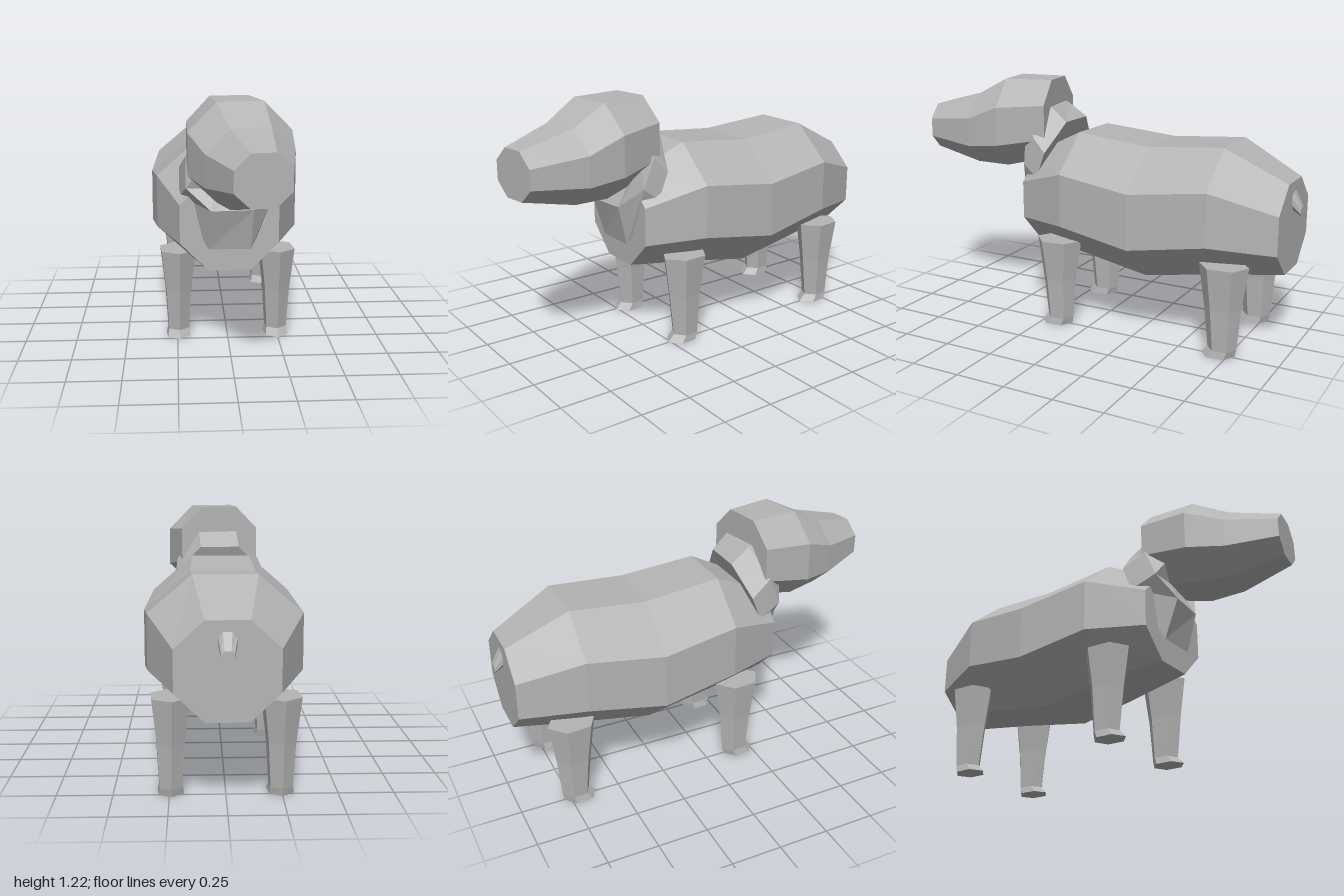
import * as THREE from 'three';

const grey = new THREE.MeshStandardMaterial({ color: 0xb4b4b4, flatShading: true });
grey.name = 'plain grey';

// Faceted closed solid through a list of rings, counter-clockwise seen from the last ring
function loft(name, rings) {
  const pos = [];
  const tri = (a, b, c) => pos.push(...a, ...b, ...c);
  const n = rings[0].length, last = rings[rings.length - 1];
  for (let i = 0; i < rings.length - 1; i++) {
    for (let j = 0; j < n; j++) {
      const k = (j + 1) % n, A = rings[i], B = rings[i + 1];
      tri(A[j], A[k], B[k]);
      tri(A[j], B[k], B[j]);
    }
  }
  for (let j = 1; j < n - 1; j++) {
    tri(rings[0][0], rings[0][j + 1], rings[0][j]);
    tri(last[0], last[j], last[j + 1]);
  }
  const geo = new THREE.BufferGeometry();
  geo.setAttribute('position', new THREE.Float32BufferAttribute(pos, 3));
  geo.computeVertexNormals();
  const mesh = new THREE.Mesh(geo, grey);
  mesh.name = name;
  return mesh;
}

// Eight-sided section: narrow half width a, full half width w, four heights from
// bottom to top with their z values, centre x and sideways turn
function octagon(a, w, y, z, cx = 0, turn = 0) {
  const zs = Array.isArray(z) ? z : [z, z, z, z];
  const half = [a, w, w, a];
  const right = [0, 1, 2, 3].map(i => [cx + half[i], y[i], zs[i] - turn * half[i]]);
  const left = [3, 2, 1, 0].map(i => [cx - half[i], y[i], zs[i] + turn * half[i]]);
  return [...right, ...left];
}

// Six-sided leg section
function hexagon(y, rx, rz, cz) {
  return Array.from({ length: 6 }, (_, i) => {
    const t = i * Math.PI / 3 + 0.1;
    return [rx * Math.sin(t), y, cz + rz * Math.cos(t)];
  });
}

export function createModel() {
  const model = new THREE.Group();
  model.name = 'animal';

  // Barrel body, rump to chest
  model.add(loft('body', [
    octagon(0.095, 0.225, [0.39, 0.515, 0.70, 0.82], -0.96),
    octagon(0.145, 0.345, [0.36, 0.545, 0.80, 0.97], -0.66),
    octagon(0.157, 0.377, [0.295, 0.485, 0.755, 0.94], -0.28),
    octagon(0.145, 0.345, [0.36, 0.54, 0.80, 0.975], 0.10),
    octagon(0.10, 0.235, [0.39, 0.525, 0.71, 0.84], 0.38),
  ]));

  // Tilted neck running into the head
  model.add(loft('neck', [
    octagon(0.10, 0.235, [0.50, 0.74, 0.87, 1.01], [0.40, 0.30, 0.25, 0.20]),
    octagon(0.10, 0.215, [0.70, 0.80, 0.94, 1.08], [0.46, 0.40, 0.34, 0.29], 0.01, 0.1),
    octagon(0.09, 0.17, [0.80, 0.88, 1.00, 1.10], [0.41, 0.42, 0.41, 0.40], 0.02, 0.16),
  ]));

  // Head, turned slightly towards its left
  model.add(loft('head', [
    octagon(0.09, 0.20, [0.82, 0.93, 1.10, 1.215], 0.305, 0, 0.17),
    octagon(0.107, 0.235, [0.765, 0.89, 1.083, 1.213], 0.548, 0.037, 0.17),
    octagon(0.09, 0.197, [0.77, 0.87, 1.015, 1.12], 0.722, 0.07, 0.2),
    octagon(0.053, 0.123, [0.827, 0.893, 0.987, 1.055], 0.973, 0.1025, 0.15),
  ]));

  // Short drooping tail
  model.add(loft('tail', [
    octagon(0.014, 0.028, [0.656, 0.67, 0.688, 0.70], -1.0),
    octagon(0.02, 0.042, [0.69, 0.72, 0.76, 0.79], -0.95),
  ]));

  // Four tapered legs with flared feet
  for (const [end, z] of [['front', 0], ['back', -0.88]]) {
    for (const [side, x] of [['Left', 0.245], ['Right', -0.245]]) {
      const leg = loft(end + side + 'Leg', [
        hexagon(0, 0.066, 0.083, 0.18),
        hexagon(0.035, 0.058, 0.07, 0.16),
        hexagon(0.24, 0.071, 0.09, 0.163),
        hexagon(0.445, 0.097, 0.12, 0.163),
      ]);
      leg.position.set(x, 0, z);
      model.add(leg);
    }
  }
  return model;
}
